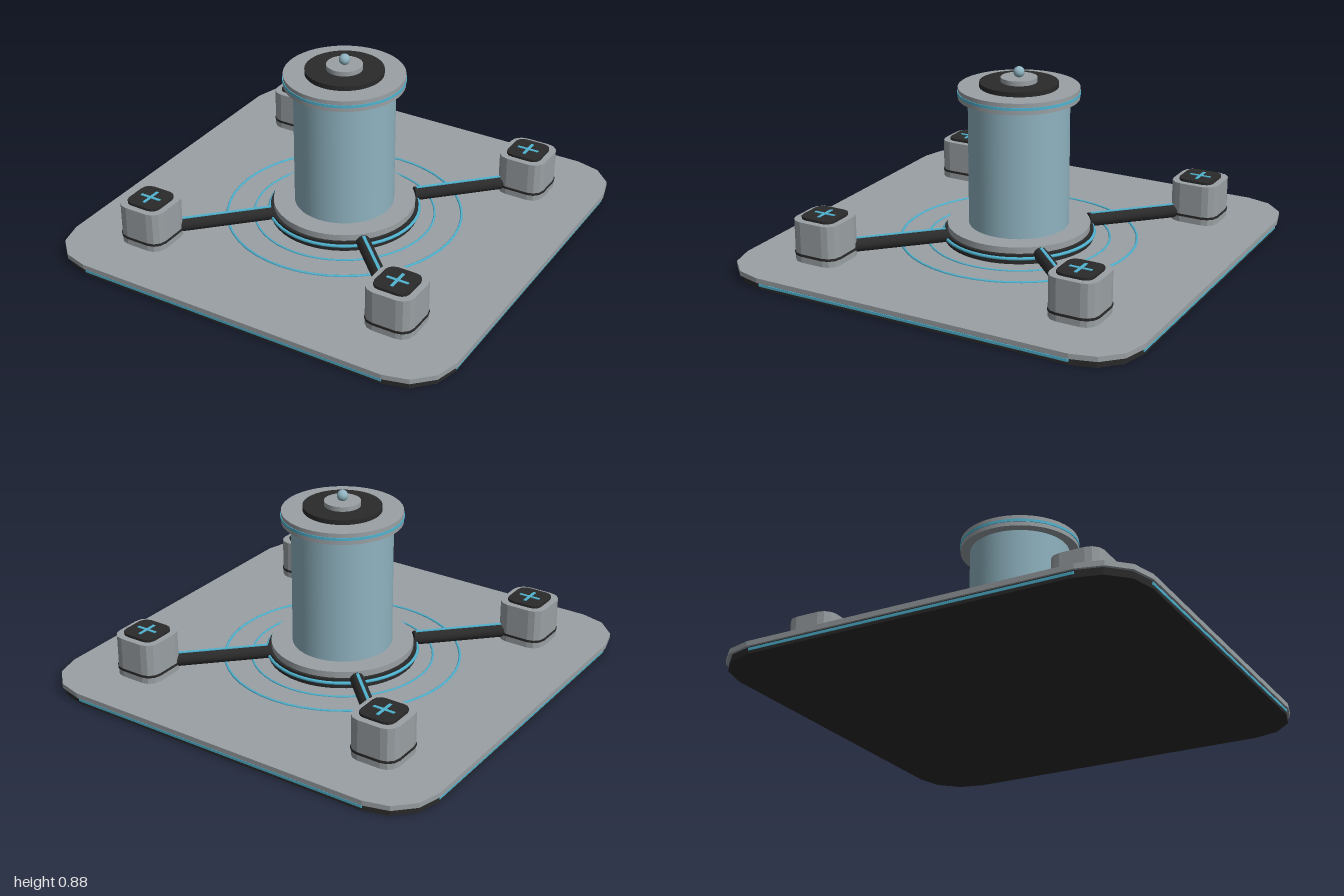
import * as THREE from 'three';

const mat = (name, color) => {
  const m = new THREE.MeshStandardMaterial({ color });
  m.name = name;
  return m;
};

export function createModel() {
  const grey = mat('panel grey', 0x9aa0a4);
  const dark = mat('dark trim', 0x2a2a2a);
  const cyan = mat('cyan accent', 0x4fb3d0);
  const glass = mat('pale blue column', 0x8fb3c0);

  const root = new THREE.Group();
  root.name = 'pedestal';

  const add = (parent, name, geometry, material, x = 0, y = 0, z = 0) => {
    const mesh = new THREE.Mesh(geometry, material);
    mesh.name = name;
    mesh.position.set(x, y, z);
    parent.add(mesh);
    return mesh;
  };

  // Upright disc or drum between two heights
  const drum = (parent, name, r, y0, y1, material, sides = 48) =>
    add(parent, name, new THREE.CylinderGeometry(r, r, y1 - y0, sides), material, 0, (y0 + y1) / 2);

  const ring = (name, r, tube, y) =>
    add(root, name, new THREE.TorusGeometry(r, tube, 8, 48).rotateX(Math.PI / 2), cyan, 0, y);

  // Square slab with faceted round corners between two heights
  const slab = (parent, name, half, radius, y0, y1, material) => {
    const pts = [];
    for (let c = 0; c < 4; c++) {
      const mid = Math.PI / 4 + c * Math.PI / 2;
      const cx = Math.sign(Math.cos(mid)) * (half - radius);
      const cy = Math.sign(Math.sin(mid)) * (half - radius);
      for (let i = 0; i <= 3; i++) {
        const a = c * Math.PI / 2 + i * Math.PI / 6;
        pts.push(new THREE.Vector2(cx + radius * Math.cos(a), cy + radius * Math.sin(a)));
      }
    }
    const geo = new THREE.ExtrudeGeometry(new THREE.Shape(pts), { depth: y1 - y0, bevelEnabled: false });
    return add(parent, name, geo.rotateX(-Math.PI / 2), material, 0, y0);
  };

  // Base plate with a light strip along each side
  slab(root, 'baseUnderside', 0.99, 0.23, 0, 0.032, dark);
  slab(root, 'basePlate', 1, 0.23, 0.032, 0.055, grey);
  for (let i = 0; i < 4; i++) {
    const side = new THREE.Group();
    side.name = 'baseSide';
    side.rotation.y = i * Math.PI / 2;
    add(side, 'lightStrip', new THREE.BoxGeometry(1.53, 0.012, 0.008), cyan, 0, 0.02, 0.99);
    root.add(side);
  }

  // Inlaid floor rings
  ring('outerFloorRing', 0.555, 0.006, 0.056);
  ring('innerFloorRing', 0.428, 0.005, 0.056);

  // Column foot
  drum(root, 'footCollar', 0.35, 0.055, 0.1, dark);
  ring('footRing', 0.354, 0.008, 0.083);
  drum(root, 'footDisc', 0.335, 0.09, 0.13, grey);

  // Column and its crown
  drum(root, 'column', 0.235, 0.13, 0.735, glass);
  drum(root, 'crownFlange', 0.28, 0.735, 0.788, grey);
  drum(root, 'crownBand', 0.283, 0.755, 0.768, cyan);
  drum(root, 'crownDisc', 0.182, 0.788, 0.81, dark);
  drum(root, 'crownHub', 0.084, 0.81, 0.832, grey);
  add(root, 'finial', new THREE.SphereGeometry(0.026, 20, 14), glass, 0, 0.855);

  // Four corner posts, each tied to the foot by an arm
  const post = 0.645;
  for (const sx of [-1, 1]) for (const sz of [-1, 1]) {
    const corner = new THREE.Group();
    corner.name = 'cornerPost';
    corner.position.set(sx * post, 0, sz * post);
    slab(corner, 'postBody', 0.116, 0.06, 0.055, 0.25, grey);
    slab(corner, 'postBand', 0.119, 0.062, 0.085, 0.096, dark);
    slab(corner, 'postCap', 0.086, 0.04, 0.25, 0.262, dark);
    add(corner, 'crossBarX', new THREE.BoxGeometry(0.105, 0.004, 0.014), cyan, 0, 0.263);
    add(corner, 'crossBarZ', new THREE.BoxGeometry(0.014, 0.004, 0.105), cyan, 0, 0.263);
    root.add(corner);

    const arm = new THREE.Group();
    arm.name = 'arm';
    arm.rotation.y = Math.atan2(sx, sz);
    add(arm, 'armTube', new THREE.CylinderGeometry(0.033, 0.033, 0.5, 12).rotateX(Math.PI / 2), dark, 0, 0.097, 0.595);
    add(arm, 'armStrip', new THREE.BoxGeometry(0.014, 0.006, 0.48), cyan, 0, 0.129, 0.595);
    root.add(arm);
  }

  return root;
}
